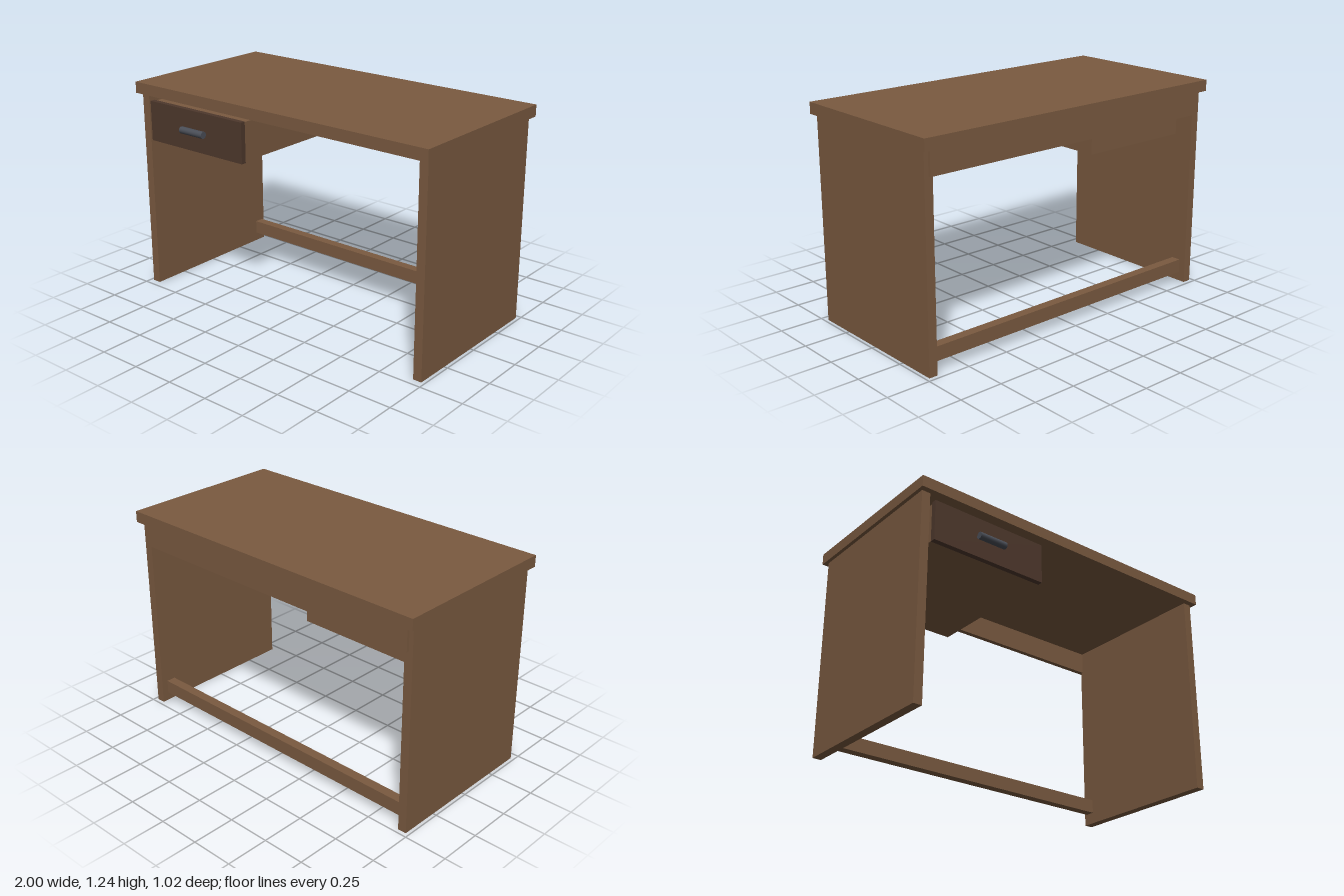
import * as THREE from 'three';

export function createModel() {
  const desk = new THREE.Group();
  desk.name = 'desk';

  const wood = new THREE.MeshStandardMaterial({ color: 0x7a5a40 });
  const darkWood = new THREE.MeshStandardMaterial({ color: 0x4e382c });
  const metal = new THREE.MeshStandardMaterial({ color: 0x4a4e57 });

  // Box given by its [min, max] extent on each axis
  function board(name, [x0, x1], [y0, y1], [z0, z1], material = wood) {
    const mesh = new THREE.Mesh(new THREE.BoxGeometry(x1 - x0, y1 - y0, z1 - z0), material);
    mesh.position.set((x0 + x1) / 2, (y0 + y1) / 2, (z0 + z1) / 2);
    mesh.name = name;
    desk.add(mesh);
  }

  // Top
  board('desktop', [-1, 1], [1.17, 1.235], [-0.51, 0.49]);

  // Side panels
  board('leftPanel', [0.93, 0.98], [0, 1.17], [-0.475, 0.457]);
  board('rightPanel', [-0.98, -0.93], [0, 1.17], [-0.475, 0.457]);

  // Back apron under the top and low stretcher between the panels
  board('backApron', [-0.955, 0.955], [1.037, 1.17], [-0.49, -0.46]);
  board('stretcher', [-0.917, 0.917], [0.06, 0.14], [-0.445, -0.39]);

  // Hanging drawer
  board('drawerBody', [-0.9, -0.21], [0.91, 1.13], [-0.385, 0.44]);
  board('drawerFront', [-0.905, -0.205], [0.903, 1.135], [0.44, 0.47], darkWood);

  // Drawer handle bar
  const handle = new THREE.Mesh(new THREE.CylinderGeometry(0.02, 0.02, 0.17, 16), metal);
  handle.rotation.z = Math.PI / 2;
  handle.position.set(-0.555, 1.019, 0.49);
  handle.name = 'drawerHandle';
  desk.add(handle);

  return desk;
}
